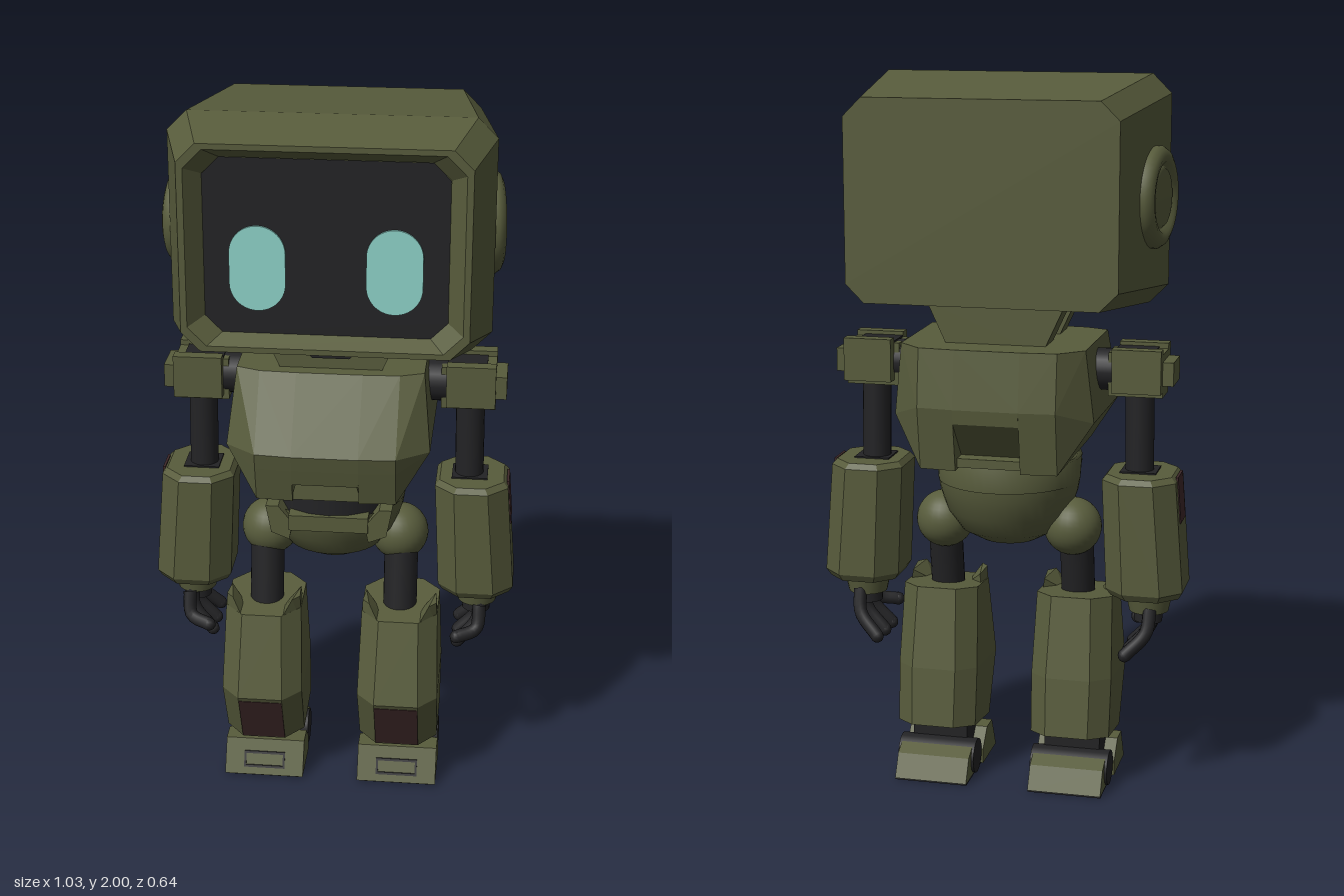
import * as THREE from 'three';
import { ConvexGeometry } from 'three/addons/geometries/ConvexGeometry.js';

const mat = (name, color, extra = {}) => Object.assign(new THREE.MeshStandardMaterial({ color, ...extra }), { name });
const V = (x, y, z) => new THREE.Vector3(x, y, z);

export function createModel() {
  const olive = mat('olive shell', 0x585c3c, { side: THREE.DoubleSide });
  const dark = mat('dark joints', 0x232325);
  const teal = mat('teal eyes', 0x8ed2c9);
  const maroon = mat('maroon panels', 0x3e2829);
  const root = new THREE.Group();
  root.name = 'robot';

  const add = (name, geo, material, parent = root) => {
    const m = new THREE.Mesh(geo, material);
    m.name = name;
    parent.add(m);
    return m;
  };
  // box from its extents; x is mirrored by s
  const box = (name, s, x0, x1, y0, y1, z0, z1, material, parent) => {
    const m = add(name, new THREE.BoxGeometry(x1 - x0, y1 - y0, z1 - z0), material, parent);
    m.position.set(s * (x0 + x1) / 2, (y0 + y1) / 2, (z0 + z1) / 2);
    return m;
  };
  const hull = (name, pts, material, parent) => add(name, new ConvexGeometry(pts), material, parent);
  const rod = (name, a, b, r, material, parent, r2 = r) => {
    const d = b.clone().sub(a);
    const m = add(name, new THREE.CylinderGeometry(r2, r, d.length(), 20), material, parent);
    m.position.copy(a).addScaledVector(d, 0.5);
    m.quaternion.setFromUnitVectors(V(0, 1, 0), d.normalize());
    return m;
  };
  // chamfered rectangle as corner pairs, counterclockwise
  const octagon = (a0, a1, b0, b1, c) => [
    [a1, b0 + c], [a1, b1 - c], [a1 - c, b1], [a0 + c, b1],
    [a0, b1 - c], [a0, b0 + c], [a0 + c, b0], [a1 - c, b0]];

  // Head: octagonal rings from back to front, then into the face recess
  const head = new THREE.Group();
  head.name = 'head';
  head.position.x = 0.005;
  root.add(head);
  const rings = [
    [0.367, 1.415, 1.955, 0.05, -0.32], [0.427, 1.37, 2.0, 0.053, 0.135],
    [0.374, 1.41, 1.965, 0.05, 0.32], [0.357, 1.425, 1.95, 0.05, 0.32],
    [0.316, 1.45, 1.92, 0.045, 0.275],
  ].map(([w, y0, y1, c, z]) => octagon(-w, w, y0, y1, c).map(([x, y]) => [x, y, z]));
  const tri = [];
  for (let k = 0; k < rings.length - 1; k++) {
    for (let i = 0; i < 8; i++) {
      const j = (i + 1) % 8, A = rings[k], B = rings[k + 1];
      tri.push(...A[i], ...A[j], ...B[j], ...A[i], ...B[j], ...B[i]);
    }
  }
  for (let i = 1; i < 7; i++) tri.push(...rings[0][0], ...rings[0][i + 1], ...rings[0][i]);
  const shell = new THREE.BufferGeometry();
  shell.setAttribute('position', new THREE.Float32BufferAttribute(tri, 3));
  shell.computeVertexNormals();
  add('headShell', shell, olive, head);
  const plate = (pts) => new THREE.ShapeGeometry(new THREE.Shape(pts.map(([x, y]) => new THREE.Vector2(x, y))), 16);
  add('faceScreen', plate(rings[4]), dark, head).position.z = 0.276;

  const eye = new THREE.Shape();
  eye.absarc(0, 0.041, 0.073, 0, Math.PI);
  eye.absarc(0, -0.041, 0.073, Math.PI, Math.PI * 2);
  const earProfile = [[0.138, 0], [0.138, 0.016], [0.128, 0.03], [0.112, 0.037], [0.096, 0.034],
    [0.086, 0.022], [0.082, 0.022], [0.076, 0.03], [0, 0.03]].map(([r, y]) => new THREE.Vector2(r, y));
  for (const s of [1, -1]) {
    add('eye', new THREE.ExtrudeGeometry(eye, { depth: 0.006, bevelEnabled: false, curveSegments: 16 }), teal, head)
      .position.set(s * 0.177, 1.628, 0.276);
    const ear = add('ear', new THREE.LatheGeometry(earProfile, 40), olive, head);
    ear.position.set(s * 0.404, 1.68, -0.008);
    ear.quaternion.setFromUnitVectors(V(0, 1, 0), V(s, 0, -0.132).normalize());
  }

  // Neck: dark core between two flared collars
  const flare = (name, w0, w1, y0, y1, z0, z1, material) => hull(name,
    [z0, z1].flatMap((z) => [V(-w0, y0, z), V(w0, y0, z), V(w1, y1, z), V(-w1, y1, z)]), material);
  flare('neckCore', 0.11, 0.16, 1.27, 1.42, -0.09, 0.04, dark);
  flare('neckCollarFront', 0.13, 0.19, 1.27, 1.4, 0.02, 0.11, olive);
  flare('neckCollarBack', 0.13, 0.19, 1.27, 1.4, -0.17, -0.07, olive);
  flare('neckThroat', 0.05, 0.12, 1.32, 1.385, 0.1, 0.114, dark);

  // Torso: slabs along x, the middle one hollowed at the lower back
  const section = (x, t, low) => [[0.15, 1.29], [0.285, 1.1], [0.275, 1.055], [0.25, low], [-0.26, low], [-0.29, 1.13], [-0.27, 1.29]]
    .map(([z, y]) => V(x, y, z * t));
  for (const s of [1, -1]) {
    hull('torsoSide', [...section(s * 0.09, 1, 0.955), ...section(s * 0.19, 0.97, 0.955),
      V(s * 0.255, 1.29, 0.12), V(s * 0.277, 1.09, 0.19), V(s * 0.255, 1.06, 0.2),
      V(s * 0.277, 1.09, -0.19), V(s * 0.255, 1.29, -0.2)], olive);
  }
  const mid = (x) => [V(x, 1.29, 0.15), V(x, 1.1, 0.285), V(x, 1.055, 0.275), V(x, 1.01, 0.264)];
  const back = (x) => [V(x, 1.29, -0.27), V(x, 1.13, -0.29), V(x, 1.09, -0.285), V(x, 1.03, -0.2), V(x, 0.98, -0.19)];
  hull('torsoMiddle', [-0.09, 0.09].flatMap((x) => [...mid(x), ...back(x)]), olive);
  hull('chestNotch', [0.2, 0.24].flatMap((z) => [V(-0.095, 0.955, z), V(0.095, 0.955, z), V(0.08, 1.015, z), V(-0.08, 1.015, z)]), olive);
  box('lowerBackBar', 1, -0.09, 0.09, 0.96, 0.985, -0.24, -0.18, olive);

  // Waist and bowl-shaped pelvis
  rod('waist', V(0, 0.84, 0), V(0, 0.97, 0), 0.18, dark);
  const bowl = [[0, 0.7], [0.08, 0.705], [0.135, 0.735], [0.175, 0.79], [0.195, 0.85], [0.2, 0.88]].map(([r, y]) => new THREE.Vector2(r, y));
  add('pelvisBowl', new THREE.LatheGeometry(bowl, 40), olive).scale.z = 0.95;
  const rim = [[0.2, 0.88], [0.205, 0.95], [0.185, 0.95], [0.182, 0.88]].map(([r, y]) => new THREE.Vector2(r, y));
  add('pelvisRim', new THREE.LatheGeometry(rim, 36, 0.85, Math.PI * 2 - 1.7), olive);
  box('beltFront', 1, -0.11, 0.11, 0.835, 0.88, 0.14, 0.19, olive);

  for (const s of [1, -1]) {
    const side = s > 0 ? 'left' : 'right';
    hull('beltClasp', [0.1, 0.175].flatMap((z) => [V(s * 0.11, 0.8, z), V(s * 0.16, 0.82, z), V(s * 0.175, 0.9, z), V(s * 0.14, 0.9, z), V(s * 0.1, 0.85, z)]), olive);

    // Leg: hip, thigh, faceted shin
    const leg = new THREE.Group();
    leg.name = side + 'Leg';
    root.add(leg);
    add('hip', new THREE.SphereGeometry(0.082, 28, 18), olive, leg).position.set(s * 0.185, 0.75, -0.01);
    rod('thigh', V(s * 0.192, 0.74, 0.01), V(s * 0.192, 0.5, 0.05), 0.048, dark, leg);
    const cx = s * 0.195;
    const level = (w, zf, yf, zb, yb) => octagon(-w, w, zb, zf, 0.052)
      .map(([x, z]) => V(cx + x, yf + (yb - yf) * (zf - z) / (zf - zb), z));
    hull('shin', [...level(0.108, 0.153, 0.54, -0.08, 0.56), ...level(0.115, 0.215, 0.3, -0.12, 0.33),
      ...level(0.113, 0.137, 0.125, -0.137, 0.163)], olive, leg);
    for (const t of [1, -1]) {
      hull('kneeHorn', [V(cx + t * 0.108, 0.5, 0.1), V(cx + t * 0.105, 0.58, 0.1), V(cx + t * 0.085, 0.58, 0.125), V(cx + t * 0.055, 0.53, 0.153),
        V(cx + t * 0.05, 0.53, 0.08), V(cx + t * 0.108, 0.5, 0.02), V(cx + t * 0.1, 0.575, 0.03)], olive, leg);
    }
    hull('shinPanel', [0.001, -0.004].flatMap((o) => [-0.062, 0.062].flatMap((x) =>
      [V(cx + x, 0.287, 0.2105 + o), V(cx + x, 0.13, 0.1405 + o)])), maroon, leg);

    // Foot: toe and heel wedges around a dark ankle axle
    box('ankle', 1, -0.08, 0.08, 0.05, 0.16, -0.05, 0.06, dark, leg).position.x = cx;
    const wedge = (name, w, prof, material) => hull(name, [-w, w].flatMap((x) => prof.map(([z, y]) => V(cx + x, y, z))), material, leg);
    wedge('toe', 0.115, [[0.158, 0.006], [0.11, 0.1], [0.05, 0.1], [0, 0.05], [0, 0.006]], olive);
    wedge('heel', 0.105, [[-0.165, 0.006], [-0.13, 0.07], [-0.09, 0.09], [-0.07, 0.05], [-0.05, 0.006]], olive);
    wedge('footBridge', 0.085, [[0.02, 0.01], [0.02, 0.07], [-0.08, 0.06], [-0.08, 0.01]], olive);
    wedge('sole', 0.105, [[0.15, 0], [0.15, 0.007], [-0.16, 0.007], [-0.16, 0]], dark);
    rod('ankleAxle', V(cx - 0.112, 0.052, -0.055), V(cx + 0.112, 0.052, -0.055), 0.05, dark, leg);
    // raised frame on the sloped toe face
    for (const [x0, x1, y0, y1] of [[-0.06, 0.06, 0.062, 0.068], [-0.06, 0.06, 0.026, 0.032], [-0.06, -0.054, 0.026, 0.068], [0.054, 0.06, 0.026, 0.068]]) {
      const zAt = (y) => 0.161 - y * 0.51;
      hull('toeFrame', [0, 0.004].flatMap((o) => [x0, x1].flatMap((x) => [y0, y1].map((y) => V(cx + x, y, zAt(y) + o - 0.001)))), dark, leg);
    }

    // Arm: shoulder block, upper arm, octagonal forearm
    const arm = new THREE.Group();
    arm.name = side + 'Arm';
    root.add(arm);
    rod('shoulderAxle', V(s * 0.22, 1.21, -0.035), V(s * 0.31, 1.21, -0.035), 0.058, dark, arm);
    box('shoulderBlock', s, 0.295, 0.445, 1.145, 1.265, -0.085, 0.012, olive, arm);
    box('shoulderTop', s, 0.31, 0.42, 1.264, 1.27, -0.08, 0.008, dark, arm);
    box('shoulderFront', s, 0.31, 0.445, 1.16, 1.28, 0.008, 0.045, olive, arm);
    box('shoulderBack', s, 0.31, 0.445, 1.16, 1.28, -0.12, -0.083, olive, arm);
    box('shoulderPeg', s, 0.44, 0.475, 1.18, 1.245, -0.09, 0.02, olive, arm);
    rod('upperArm', V(s * 0.375, 1.17, -0.037), V(s * 0.378, 0.88, -0.037), 0.04, dark, arm);
    const ring = (x0, x1, y, g, c) => octagon(x0 + g, x1 - g, -0.163 + g, 0.083 - g, c).map(([x, z]) => V(s * x, y, z));
    hull('forearm', [...ring(0.285, 0.488, 0.93, 0.012, 0.05), ...ring(0.285, 0.489, 0.915, 0, 0.055),
      ...ring(0.299, 0.513, 0.605, 0, 0.055), ...ring(0.299, 0.513, 0.585, 0.012, 0.05)], olive, arm);
    hull('forearmPanel', [-0.004, 0.003].flatMap((o) => [-0.08, 0.005].flatMap((z) =>
      [V(s * (0.4885 + o), 0.925, z), V(s * (0.4985 + o), 0.795, z)])), maroon, arm);
    box('forearmSocket', s, 0.33, 0.43, 0.925, 0.934, -0.085, 0.01, dark, arm);

    // Hand: tapered wrist and curled fingers
    rod('wrist', V(s * 0.41, 0.53, -0.04), V(s * 0.41, 0.6, -0.04), 0.055, olive, arm, 0.07);
    rod('palm', V(s * 0.408, 0.5, -0.04), V(s * 0.41, 0.545, -0.04), 0.04, dark, arm);
    for (const [z0, z1, yEnd] of [[0.035, 0.085, 0.465], [-0.005, 0.018, 0.415], [-0.045, -0.052, 0.415], [-0.085, -0.13, 0.42]]) {
      const p = [V(s * 0.42, 0.545, z0), V(s * 0.412, 0.48, (z0 + z1) / 2), V(s * 0.358, yEnd, z1)];
      add('finger', new THREE.TubeGeometry(new THREE.CatmullRomCurve3(p), 10, 0.019, 10), dark, arm);
      add('fingertip', new THREE.SphereGeometry(0.019, 10, 8), dark, arm).position.copy(p[2]);
    }
  }
  return root;
}
